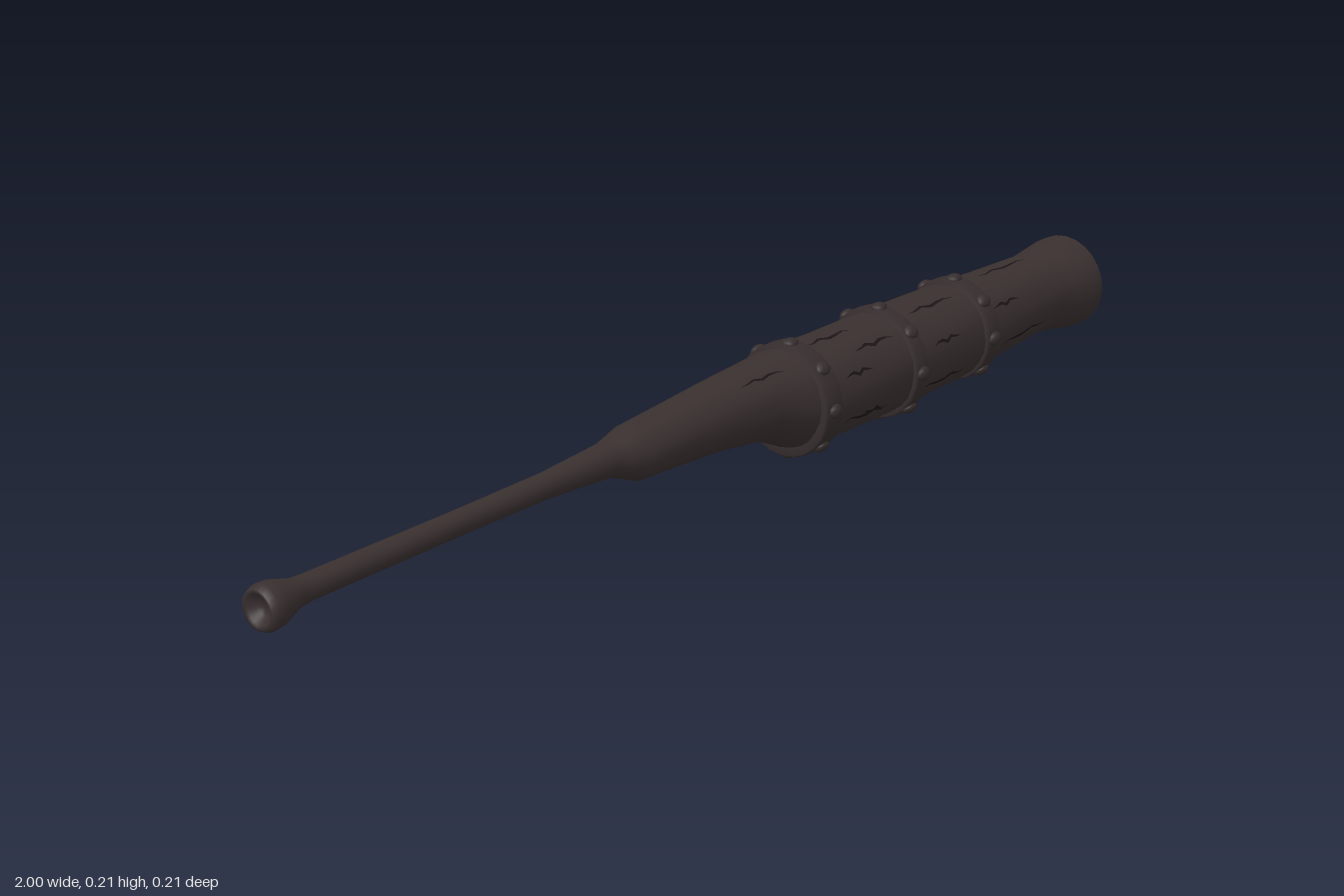
import * as THREE from 'three';

// Club profile along x: [x, axis height, radius]
const PROFILE = [
  [-0.985, 0.133, 0.001], [-0.985, 0.133, 0.014], [-0.998, 0.133, 0.024], [-1, 0.133, 0.032],
  [-0.988, 0.133, 0.037], [-0.97, 0.134, 0.036], [-0.93, 0.136, 0.023], [-0.9, 0.137, 0.021],
  [-0.6, 0.138, 0.02], [-0.4, 0.139, 0.021], [-0.26, 0.139, 0.029], [-0.235, 0.137, 0.036],
  [-0.2, 0.134, 0.047], [-0.1, 0.136, 0.052], [0, 0.137, 0.058], [0.1, 0.133, 0.067],
  [0.15, 0.123, 0.079], [0.19, 0.114, 0.089], [0.3, 0.111, 0.09], [0.44, 0.111, 0.09],
  [0.56, 0.112, 0.086], [0.66, 0.113, 0.083], [0.74, 0.115, 0.077], [0.82, 0.117, 0.073],
  [0.89, 0.117, 0.071], [0.93, 0.116, 0.077], [0.965, 0.114, 0.083], [0.995, 0.114, 0.083],
];

// Axis height and radius at x on the thick part
function sectionAt(x) {
  let i = 7;
  while (i < PROFILE.length - 2 && PROFILE[i + 1][0] < x) i++;
  const [x0, c0, r0] = PROFILE[i], [x1, c1, r1] = PROFILE[i + 1];
  const t = (x - x0) / (x1 - x0);
  return [c0 + (c1 - c0) * t, r0 + (r1 - r0) * t];
}

// Gentle hewn unevenness of the wood
const uneven = (x, a) => 1 + (x > -0.3 && x < 0.95 ? 0.018 * Math.sin(5 * a + 3 * x) * Math.sin(3 * a + 9 * x) : 0);

// Skin circular sections along the x axis
function sweep(rows, sides, wobble = () => 1) {
  const pos = [], index = [];
  for (const [x, c, r] of rows) {
    for (let j = 0; j < sides; j++) {
      const a = (j / sides) * Math.PI * 2, q = r * wobble(x, a);
      pos.push(x, c + q * Math.cos(a), q * Math.sin(a));
    }
  }
  for (let i = 0; i < rows.length - 1; i++) {
    for (let j = 0; j < sides; j++) {
      const k = (j + 1) % sides, a = i * sides + j, b = i * sides + k;
      index.push(a, b, a + sides, b, b + sides, a + sides);
    }
  }
  const g = new THREE.BufferGeometry();
  g.setAttribute('position', new THREE.Float32BufferAttribute(pos, 3));
  g.setIndex(index);
  g.computeVertexNormals();
  return g;
}

// A thin tapering split lying on the wood
function crackGeometry(x0, length, angle, width) {
  const pos = [], index = [], n = 6;
  for (let i = 0; i <= n; i++) {
    const x = x0 + (length * i) / n, [c, r] = sectionAt(x);
    const half = width * Math.sin((Math.PI * i) / n);
    const mid = angle + 0.04 * Math.sin(i * 2.3 + angle);
    for (const a of [mid - half, mid + half]) {
      const q = r * uneven(x, a) + 0.0015;
      pos.push(x, c + q * Math.cos(a), q * Math.sin(a));
    }
    if (i < n) index.push(2 * i, 2 * i + 1, 2 * i + 2, 2 * i + 1, 2 * i + 3, 2 * i + 2);
  }
  const g = new THREE.BufferGeometry();
  g.setAttribute('position', new THREE.Float32BufferAttribute(pos, 3));
  g.setIndex(index);
  g.computeVertexNormals();
  return g;
}

export function createModel() {
  const wood = new THREE.MeshStandardMaterial({ color: 0x3a3030 });
  wood.name = 'dark wood';
  const iron = new THREE.MeshStandardMaterial({ color: 0x372e2e });
  iron.name = 'dark iron';
  const split = new THREE.MeshStandardMaterial({ color: 0x1c1616 });
  split.name = 'split shadow';
  const bare = new THREE.MeshStandardMaterial({ color: 0x7a5535 });
  bare.name = 'bare wood';

  const model = new THREE.Group();
  model.name = 'club';
  const add = (parent, name, geometry, material) => {
    const mesh = new THREE.Mesh(geometry, material);
    mesh.name = name;
    parent.add(mesh);
    return mesh;
  };

  // Handle, pommel and barrel in one turned piece
  add(model, 'shaft', sweep(PROFILE, 24, uneven), wood);

  // Flat striking end with a worn sliver on its rim
  const cap = add(model, 'endCap', new THREE.CircleGeometry(0.083, 24), wood);
  cap.rotation.y = Math.PI / 2;
  cap.position.set(0.995, 0.114, 0);
  const chip = add(model, 'wornRim', new THREE.RingGeometry(0.079, 0.082, 8, 1, -0.25, 0.75), bare);
  chip.rotation.y = Math.PI / 2;
  chip.position.set(0.997, 0.114, 0);

  // Three bands, each with eight domed studs
  const studGeometry = new THREE.SphereGeometry(1, 10, 8);
  for (const [x, c, r, half] of [[0.2, 0.111, 0.098, 0.023], [0.44, 0.11, 0.098, 0.018], [0.655, 0.113, 0.091, 0.019]]) {
    const band = new THREE.Group();
    band.name = 'band';
    model.add(band);
    const inner = r - 0.02;
    add(band, 'hoop', sweep([
      [x - half, c, inner], [x - half, c, r - 0.004], [x - half + 0.005, c, r],
      [x + half - 0.005, c, r], [x + half, c, r - 0.004], [x + half, c, inner],
    ], 24), iron);
    for (let i = 0; i < 8; i++) {
      const a = (i * Math.PI) / 4;
      const stud = add(band, 'stud', studGeometry, iron);
      stud.position.set(x, c + (r - 0.001) * Math.cos(a), (r - 0.001) * Math.sin(a));
      stud.rotation.x = a;
      stud.scale.set(0.016, 0.009, 0.013);
    }
  }

  // Splits in the wood: [start x, length, count, angle offset]
  const cracks = new THREE.Group();
  cracks.name = 'cracks';
  model.add(cracks);
  for (const [x, length, count, offset] of [[0.02, 0.11, 3, 0.6], [0.235, 0.13, 7, 0.2], [0.3, 0.11, 5, 0.7], [0.47, 0.14, 8, 0.4], [0.69, 0.16, 7, 0.1]]) {
    for (let i = 0; i < count; i++) {
      const shift = 0.02 * Math.sin(i * 4.1 + x * 20);
      add(cracks, 'crack', crackGeometry(x + shift, length * (0.75 + 0.2 * Math.cos(i * 3)), offset + (i / count) * Math.PI * 2, 0.035), split);
    }
  }
  return model;
}
